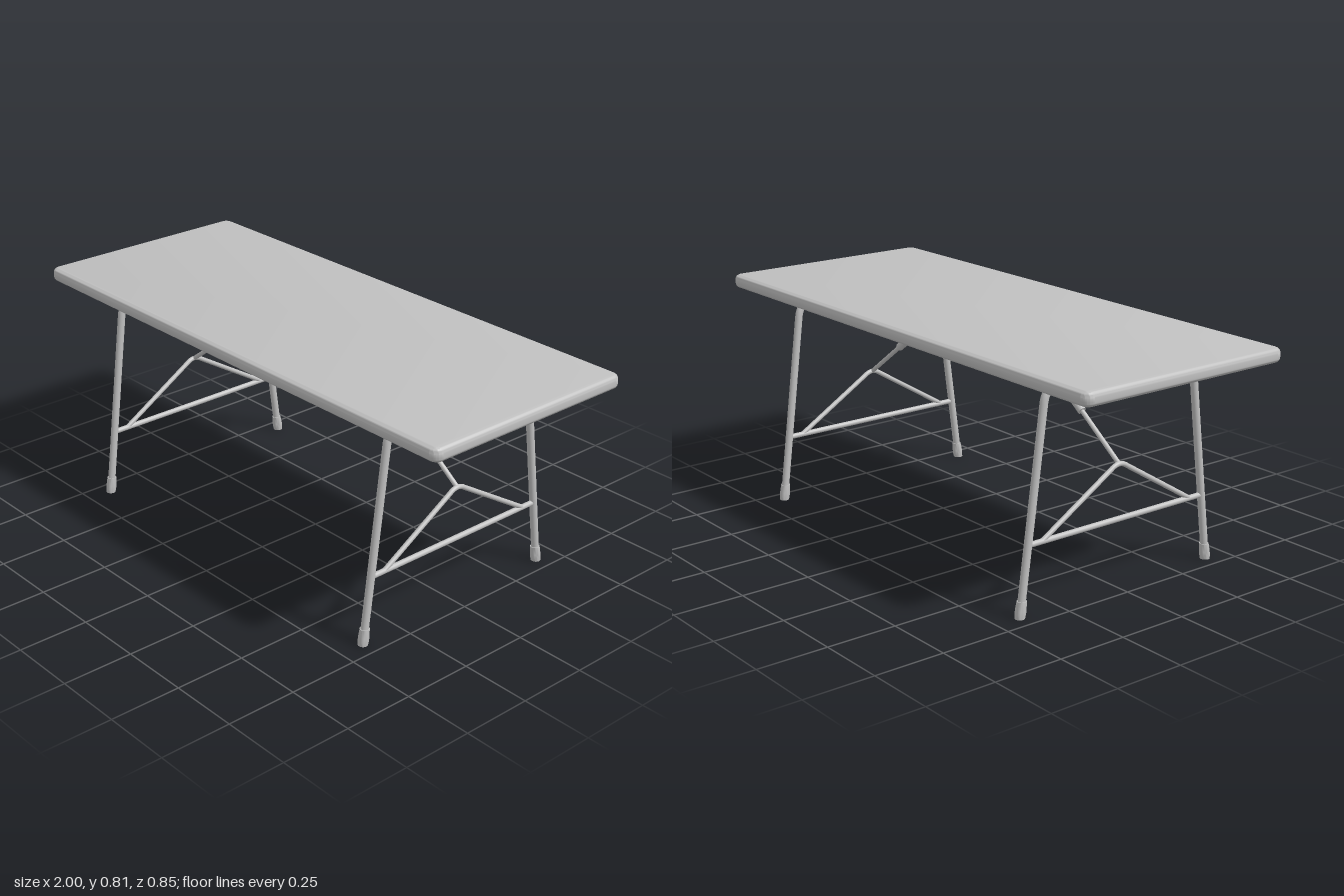
import * as THREE from 'three';
import { toCreasedNormals } from 'three/addons/utils/BufferGeometryUtils.js';

const grey = new THREE.MeshStandardMaterial({ color: 0xc0c0c0 });
grey.name = 'grey';

const LEG_X = 0.695;
const SLOPE = 0.13; // outward lean of the legs, z per y
const legZ = (y) => 0.4087 - SLOPE * y;
const point = (z, y) => new THREE.Vector3(0, y, z);

function part(name, geometry, parent) {
  const mesh = new THREE.Mesh(geometry, grey);
  mesh.name = name;
  parent.add(mesh);
  return mesh;
}

// Straight round bar between two points
function rod(name, a, b, radius, parent) {
  const dir = b.clone().sub(a);
  const mesh = part(name, new THREE.CylinderGeometry(radius, radius, dir.length(), 20), parent);
  mesh.position.copy(a).add(b).multiplyScalar(0.5);
  mesh.quaternion.setFromUnitVectors(new THREE.Vector3(0, 1, 0), dir.normalize());
  return mesh;
}

// Bent tube: straight runs joined by smooth corners
function bentTube(name, start, bends, end, radius, parent) {
  const path = new THREE.CurvePath();
  let last = start;
  for (const [from, corner, to] of bends) {
    path.add(new THREE.LineCurve3(last, from));
    path.add(new THREE.QuadraticBezierCurve3(from, corner, to));
    last = to;
  }
  path.add(new THREE.LineCurve3(last, end));
  return part(name, new THREE.TubeGeometry(path, 160, radius, 18), parent);
}

// Slab with rounded corners and rounded edges
function tabletop(parent) {
  const bevel = 0.018, r = 0.014, w = 1 - bevel, d = 0.415 - bevel;
  const s = new THREE.Shape();
  s.absarc(w - r, d - r, r, 0, Math.PI / 2);
  s.absarc(-w + r, d - r, r, Math.PI / 2, Math.PI);
  s.absarc(-w + r, -d + r, r, Math.PI, Math.PI * 1.5);
  s.absarc(w - r, -d + r, r, Math.PI * 1.5, Math.PI * 2);
  s.closePath();
  const g = new THREE.ExtrudeGeometry(s, {
    depth: 0.049 - 2 * bevel, bevelSize: bevel, bevelThickness: bevel, bevelSegments: 6, curveSegments: 8,
  });
  g.rotateX(-Math.PI / 2);
  g.translate(0, 0.759 + bevel, 0);
  part('tabletop', toCreasedNormals(g, 0.6), parent);
}

// Foot cap: a lathe sheared along the leg so both ends stay level
function footGeometry() {
  const profile = [[0, 0], [0.017, 0], [0.0185, 0.015], [0.0185, 0.028], [0.0165, 0.057], [0, 0.057]];
  const g = new THREE.LatheGeometry(profile.map(([x, y]) => new THREE.Vector2(x, y)), 20);
  g.applyMatrix4(new THREE.Matrix4().set(1, 0, 0, 0, 0, 1, 0, 0, 0, -SLOPE, 1, legZ(0), 0, 0, 0, 1));
  return toCreasedNormals(g, 0.7);
}

// One folding trestle, built at x = 0 with its strut toward -x
function trestle() {
  const t = new THREE.Group();
  const top = 0.741;
  bentTube('legFrame', point(legZ(0.03), 0.03), [
    [point(legZ(0.688), 0.688), point(legZ(top), top), point(0.262, top)],
    [point(-0.262, top), point(-legZ(top), top), point(-legZ(0.688), 0.688)],
  ], point(-legZ(0.03), 0.03), 0.0135, t);

  rod('crossbar', point(0.376, 0.238), point(-0.376, 0.238), 0.0095, t);
  bentTube('bentBrace', point(0.32, 0.239), [
    [point(0.034, 0.414), point(0, 0.439), point(-0.034, 0.414)],
  ], point(-0.32, 0.239), 0.0085, t);

  // Diagonal strut with its locking sleeve
  const low = new THREE.Vector3(0, 0.426, 0);
  const high = new THREE.Vector3(-0.437, 0.745, 0);
  rod('strut', low, high, 0.008, t);
  const along = high.clone().sub(low).normalize().multiplyScalar(0.0275);
  const mid = low.clone().lerp(high, 0.47);
  rod('sleeve', mid.clone().sub(along), mid.clone().add(along), 0.0145, t);

  // Mounting brackets under the top
  const bracket = (name, x, z, depth) =>
    part(name, new THREE.BoxGeometry(0.06, 0.019, depth), t).position.set(x, 0.7515, z);
  bracket('strutBracket', -0.437, 0, 0.06);

  for (const side of [1, -1]) {
    bracket('legBracket', 0, side * 0.257, 0.076);
    const foot = part('foot', footGeometry(), t);
    if (side < 0) foot.rotation.y = Math.PI;
  }
  return t;
}

export function createModel() {
  const model = new THREE.Group();
  model.name = 'foldingTable';
  tabletop(model);
  for (const side of [1, -1]) {
    const t = trestle();
    t.name = side > 0 ? 'leftTrestle' : 'rightTrestle';
    t.position.x = side * LEG_X;
    if (side < 0) t.rotation.y = Math.PI;
    model.add(t);
  }
  return model;
}
